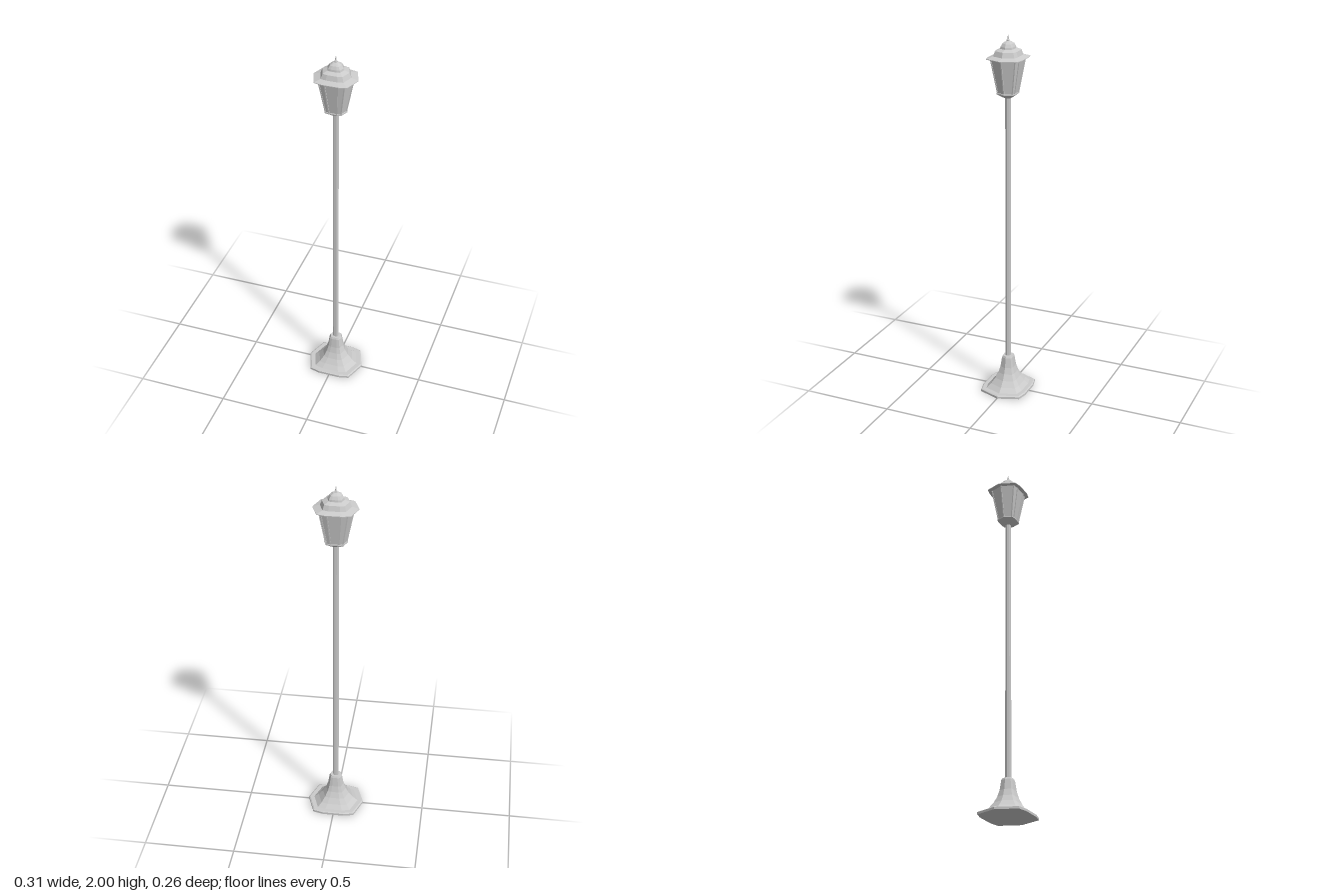
import * as THREE from 'three';

// Chamfered, slightly squashed plan shared by every part (unit x radius)
const quarter = [[1, 0], [0.73, 0.73], [0.375, 0.815]];
const plan = [
  ...quarter,
  ...quarter.slice(1).reverse().map(([x, z]) => [-x, z]),
  [-1, 0],
  ...quarter.slice(1).map(([x, z]) => [-x, -z]),
  ...quarter.slice(1).reverse().map(([x, z]) => [x, -z]),
];

const metal = new THREE.MeshStandardMaterial({ color: 0xcccccc, flatShading: true, side: THREE.DoubleSide });

// Stack the plan along a profile of [radius, height], bottom to top, closed at both ends
function loft(name, profile) {
  const rings = [[0, profile[0][1]], ...profile, [0, profile[profile.length - 1][1]]];
  const n = plan.length;
  const pos = [];
  const corner = (r, i) => {
    const [x, z] = plan[i % n];
    return [x * rings[r][0], rings[r][1], z * rings[r][0]];
  };
  for (let r = 0; r < rings.length - 1; r++) {
    for (let i = 0; i < n; i++) {
      const a = corner(r, i), b = corner(r, i + 1), c = corner(r + 1, i + 1), d = corner(r + 1, i);
      if (rings[r + 1][0] > 0) pos.push(...a, ...d, ...c);
      if (rings[r][0] > 0) pos.push(...a, ...c, ...b);
    }
  }
  const geo = new THREE.BufferGeometry();
  geo.setAttribute('position', new THREE.Float32BufferAttribute(pos, 3));
  geo.computeVertexNormals();
  const mesh = new THREE.Mesh(geo, metal);
  mesh.name = name;
  return mesh;
}

// Thin square bar between two points
function bar(name, from, to, width) {
  const dir = to.clone().sub(from);
  const mesh = new THREE.Mesh(new THREE.BoxGeometry(width, dir.length(), width), metal);
  mesh.position.copy(from).add(to).multiplyScalar(0.5);
  mesh.quaternion.setFromUnitVectors(new THREE.Vector3(0, 1, 0), dir.normalize());
  mesh.name = name;
  return mesh;
}

export function createModel() {
  const group = new THREE.Group();
  group.name = 'lampPost';

  // Foot plate, flared base and pole
  group.add(
    loft('footPlate', [[0.157, 0], [0.157, 0.012], [0.15, 0.016]]),
    loft('flaredBase', [[0.128, 0.014], [0.1, 0.038], [0.075, 0.068], [0.057, 0.1],
      [0.045, 0.135], [0.036, 0.19], [0.031, 0.2]]),
    loft('pole', [[0.016, 0.19], [0.016, 1.69]]),
  );

  // Lantern: cup, glass and frame
  const lantern = new THREE.Group();
  lantern.name = 'lantern';
  lantern.add(
    loft('cup', [[0.022, 1.675], [0.04, 1.685], [0.061, 1.698], [0.061, 1.704]]),
    loft('glass', [[0.054, 1.7], [0.092, 1.886]]),
  );
  for (const [x, z] of plan) {
    lantern.add(bar('frameBar',
      new THREE.Vector3(x * 0.055, 1.7, z * 0.055),
      new THREE.Vector3(x * 0.093, 1.886, z * 0.093), 0.006));
  }

  // Stepped roof, dome and finial
  lantern.add(
    loft('roof', [[0.117, 1.883], [0.117, 1.886], [0.08, 1.896], [0.07, 1.922], [0.045, 1.932]]),
    loft('dome', [[0.044, 1.928], [0.041, 1.942], [0.031, 1.958], [0.015, 1.968], [0.008, 1.97]]),
    loft('finial', [[0.008, 1.968], [0.008, 1.976], [0.004, 1.98], [0.002, 2]]),
  );
  group.add(lantern);
  return group;
}
